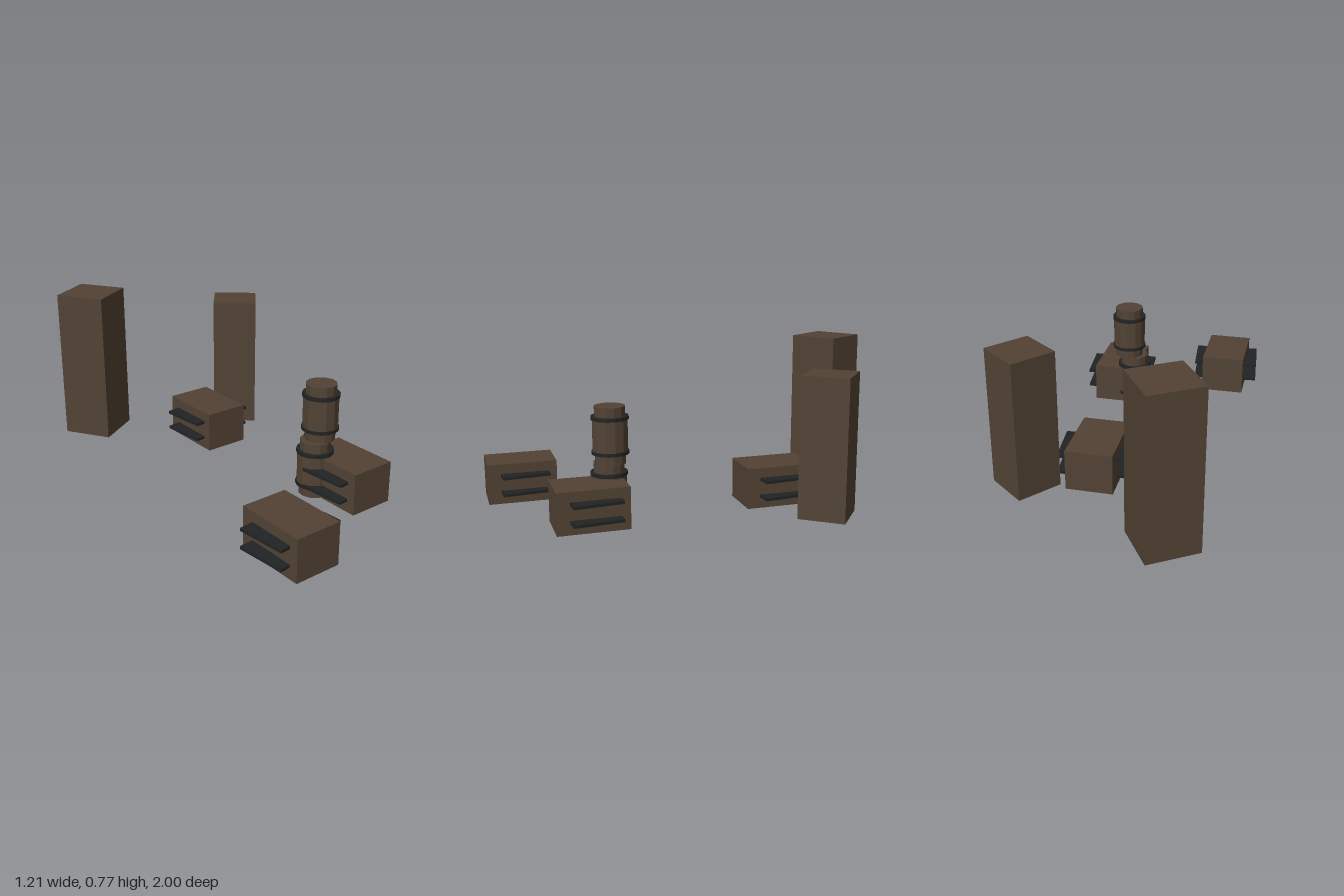
import * as THREE from 'three';

export function createModel() {
  const model = new THREE.Group();
  model.name = 'crateYard';

  const brown = new THREE.MeshStandardMaterial({ color: 0x524234 });
  brown.name = 'brown wood';
  brown.side = THREE.DoubleSide;
  brown.flatShading = true;
  const black = new THREE.MeshStandardMaterial({ color: 0x212324 });
  black.name = 'black iron';
  black.flatShading = true;

  function add(parent, name, geometry, material, x, y, z, turn = 0) {
    const mesh = new THREE.Mesh(geometry, material);
    mesh.name = name;
    mesh.position.set(x, y, z);
    mesh.rotation.y = turn;
    parent.add(mesh);
    return mesh;
  }

  function addGroup(name, x, y, z) {
    const group = new THREE.Group();
    group.name = name;
    group.position.set(x, y, z);
    model.add(group);
    return group;
  }

  // Crate shell: a box without its bottom face
  const shell = new THREE.BoxGeometry(0.226, 0.2, 0.337);
  const faces = Array.from(shell.index.array);
  faces.splice(18, 6);
  shell.setIndex(faces);
  shell.clearGroups();

  // Slightly turned crates, each crossed by two straight iron plates
  const plate = new THREE.BoxGeometry(0.346, 0.014, 0.232);
  const crates = [['rightCrate', -0.432, 0.821], ['middleCrate', 0.147, 0.624], ['rearCrate', 0.123, -0.324]];
  for (const [name, x, z] of crates) {
    const crate = addGroup(name, x, 0, z);
    add(crate, 'crateShell', shell, brown, 0, 0.1, 0, -0.087);
    add(crate, 'lowerPlate', plate, black, 0, 0.06, 0);
    add(crate, 'upperPlate', plate, black, 0, 0.145, 0);
  }

  // Stacked barrels: narrow core, wide belly and two hoops
  const core = new THREE.CylinderGeometry(0.073, 0.073, 0.27, 12);
  const belly = new THREE.CylinderGeometry(0.084, 0.084, 0.162, 12);
  const hoop = new THREE.CylinderGeometry(0.088, 0.088, 0.016, 16);
  const barrels = [['lowerBarrel', 0.064, 0.135], ['upperBarrel', 0.092, 0.405]];
  for (const [name, x, y] of barrels) {
    const barrel = addGroup(name, x, y, 0.502);
    add(barrel, 'core', core, brown, 0, 0, 0);
    add(barrel, 'belly', belly, brown, 0, 0, 0);
    for (const side of [-1, 1]) add(barrel, 'hoop', hoop, black, 0, side * 0.081, 0);
  }

  // Tall rear pillars
  add(model, 'tallPillar', new THREE.BoxGeometry(0.253, 0.766, 0.253), brown, -0.241, 0.383, -0.829, 0.48);
  add(model, 'shortPillar', new THREE.BoxGeometry(0.226, 0.68, 0.226), brown, 0.441, 0.34, -0.453, 0.81);

  return model;
}
